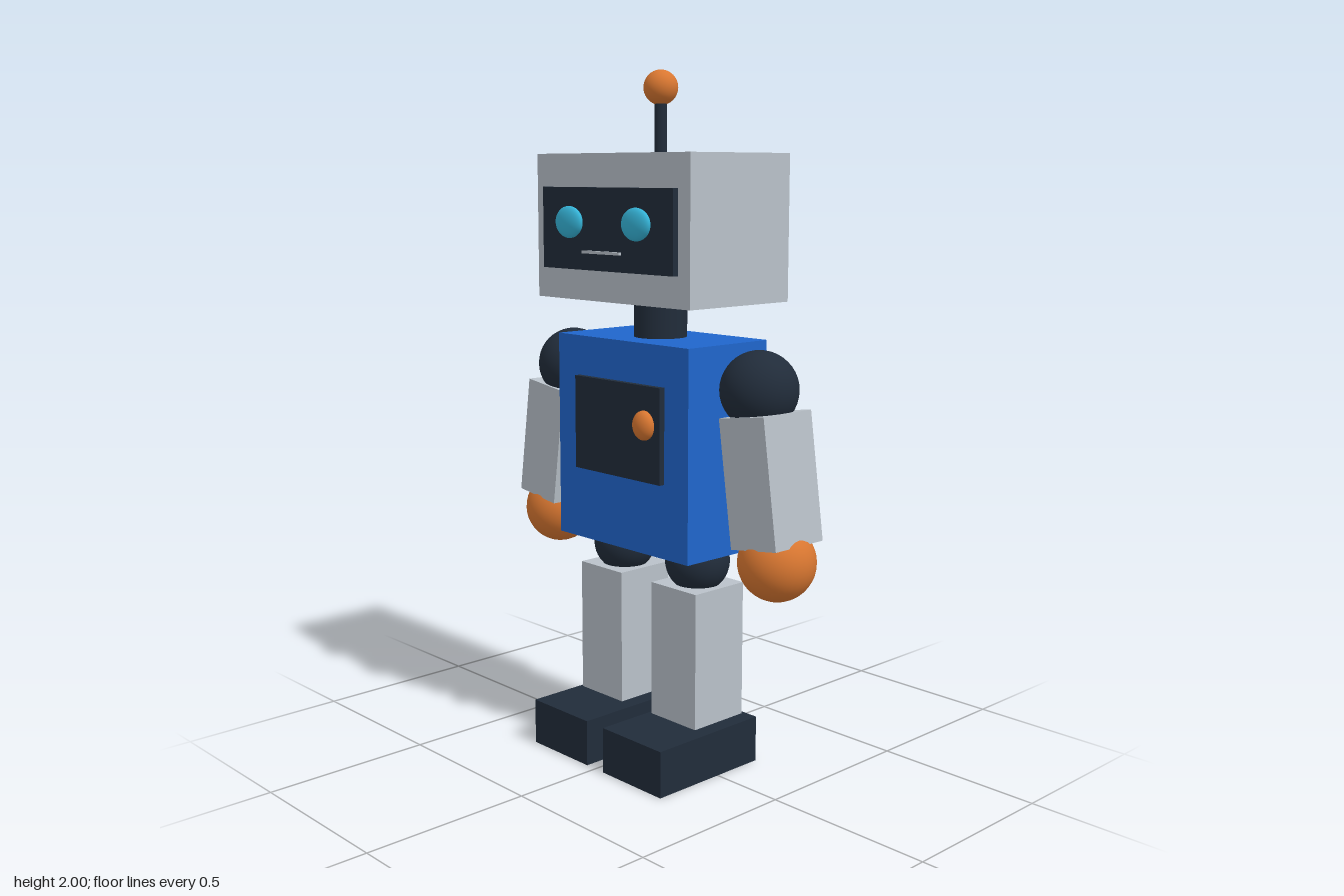
import * as THREE from 'three';

const material = (name, color) => {
  const m = new THREE.MeshStandardMaterial({ color });
  m.name = name;
  return m;
};

export function createModel() {
  const grey = material('light grey', 0xb9c1c9);
  const blue = material('blue', 0x2066cc);
  const dark = material('dark navy', 0x212c3a);
  const orange = material('orange', 0xd97731);
  const cyan = material('cyan', 0x35b4d8);

  const robot = new THREE.Group();
  robot.name = 'robot';
  const Z = -0.033; // depth of the body's centre line

  const add = (name, geometry, mat, x, y, z) => {
    const mesh = new THREE.Mesh(geometry, mat);
    mesh.name = name;
    mesh.position.set(x, y, z);
    robot.add(mesh);
    return mesh;
  };
  const box = (name, mat, w, h, d, x, y, z) =>
    add(name, new THREE.BoxGeometry(w, h, d), mat, x, y, z);
  const ball = (name, mat, rx, ry, rz, x, y, z) =>
    add(name, new THREE.SphereGeometry(1, 32, 20).scale(rx, ry, rz), mat, x, y, z);
  const rod = (name, mat, r, h, x, y, z) =>
    add(name, new THREE.CylinderGeometry(r, r, h, 24), mat, x, y, z);

  // Head, face and antenna
  box('head', grey, 0.632, 0.411, 0.386, 0, 1.563, Z);
  box('facePanel', dark, 0.54, 0.23, 0.022, 0, 1.56, 0.167);
  box('mouth', grey, 0.155, 0.008, 0.01, 0, 1.497, 0.193);
  rod('antenna', dark, 0.018, 0.16, 0, 1.84, Z);
  ball('antennaTip', orange, 0.049, 0.049, 0.049, 0, 1.951, Z);

  // Torso
  rod('neck', dark, 0.077, 0.14, 0, 1.3, Z);
  box('torso', blue, 0.546, 0.602, 0.31, 0, 0.948, Z);
  box('chestPanel', dark, 0.358, 0.273, 0.022, 0, 0.997, 0.129);
  ball('chestKnob', orange, 0.038, 0.042, 0.026, 0.12, 1.023, 0.145);

  // Mirrored parts
  for (const [side, s] of [['left', 1], ['right', -1]]) {
    ball(side + 'Eye', cyan, 0.055, 0.045, 0.019, s * 0.139, 1.578, 0.191);
    ball(side + 'Shoulder', dark, 0.109, 0.109, 0.109, s * 0.39, 1.134, Z);
    const arm = box(side + 'Arm', grey, 0.165, 0.36, 0.19, s * 0.437, 0.893, Z);
    arm.rotation.z = s * 0.14;
    ball(side + 'Hand', orange, 0.109, 0.109, 0.109, s * 0.463, 0.667, Z);
    ball(side + 'Hip', dark, 0.094, 0.094, 0.094, s * 0.156, 0.612, Z);
    box(side + 'Leg', grey, 0.181, 0.4, 0.193, s * 0.156, 0.346, Z);
    box(side + 'Foot', dark, 0.241, 0.136, 0.388, s * 0.156, 0.068, 0.034);
  }
  return robot;
}
